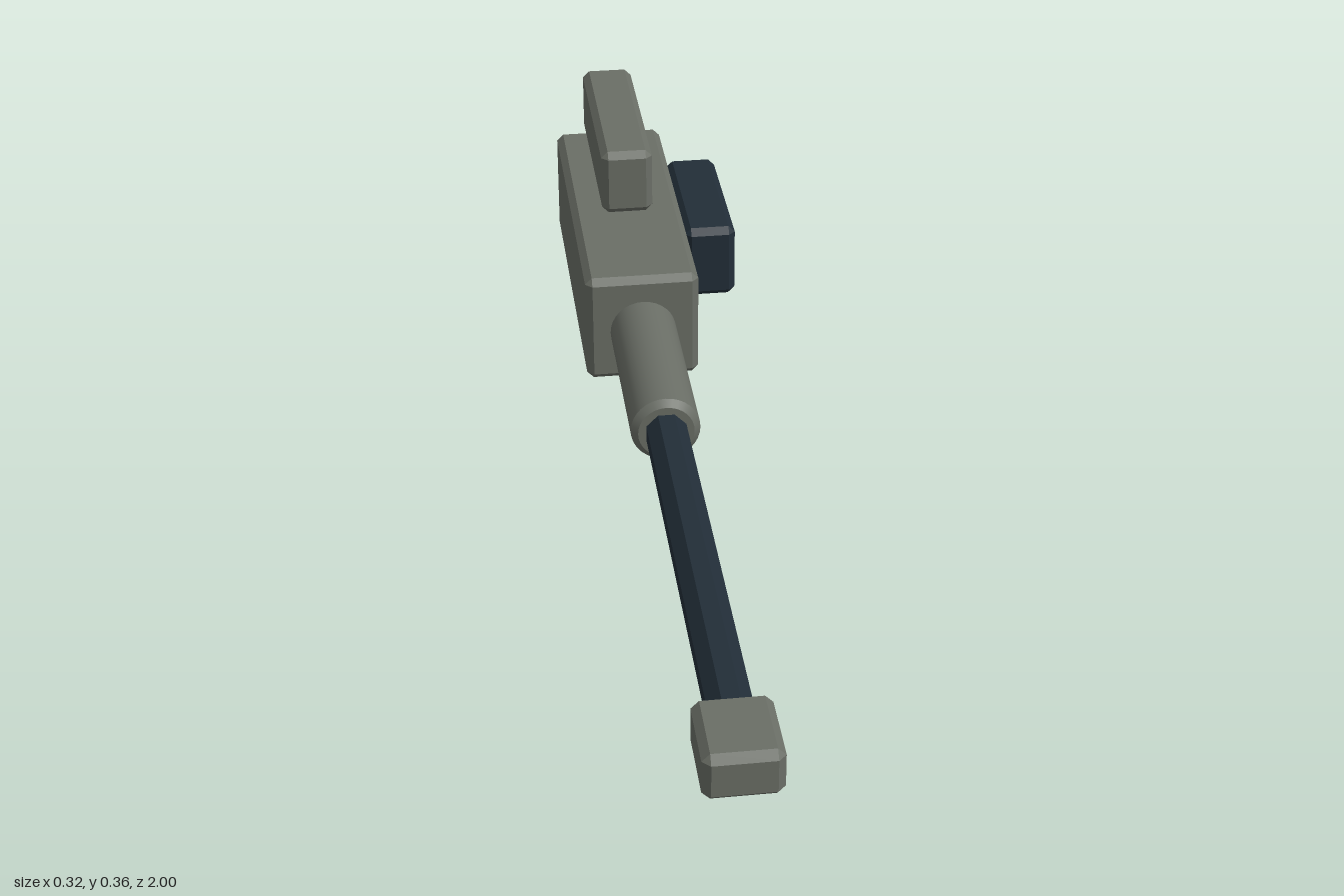
import * as THREE from 'three';
import { ConvexGeometry } from 'three/addons/geometries/ConvexGeometry.js';

const AXIS_X = -0.052, AXIS_Y = 0.11;

// Box between two corners with every edge chamfered by c
function chamferBox(min, max, c = 0.013) {
  const centre = min.map((v, i) => (v + max[i]) / 2);
  const half = min.map((v, i) => (max[i] - v) / 2);
  const points = [];
  for (const sx of [-1, 1]) for (const sy of [-1, 1]) for (const sz of [-1, 1]) {
    for (let face = 0; face < 3; face++) {
      const p = [sx, sy, sz].map((s, i) => s * (half[i] - (i === face ? 0 : c)));
      points.push(new THREE.Vector3(...p));
    }
  }
  return new ConvexGeometry(points).translate(...centre);
}

export function createModel() {
  const group = new THREE.Group();
  const grey = new THREE.MeshStandardMaterial({ color: 0x6a6e66 });
  grey.name = 'greyGreen';
  const dark = new THREE.MeshStandardMaterial({ color: 0x222e38 });
  dark.name = 'darkSteel';

  const add = (name, geometry, material) => {
    const mesh = new THREE.Mesh(geometry, material);
    mesh.name = name;
    group.add(mesh);
  };

  // Boxy parts
  add('receiver', chamferBox([-0.16, 0, -1], [0.057, 0.218, -0.335]), grey);
  add('topHousing', chamferBox([-0.102, 0.228, -1], [-0.002, 0.36, -0.585]), grey);
  add('sideBox', chamferBox([0.057, 0.052, -0.875], [0.158, 0.202, -0.545]), dark);
  add('muzzleBlock', chamferBox([-0.115, 0.068, 0.85], [0.011, 0.152, 1]), grey);

  // Round sleeve with chamfered ends; doubled points keep the edges sharp
  const r = 0.063, c = 0.012, z0 = -0.337, z1 = 0.043;
  const profile = [
    [0, z0], [r - c, z0], [r - c, z0], [r, z0 + c], [r, z0 + c],
    [r, z1 - c], [r, z1 - c], [r - c, z1], [r - c, z1], [0, z1],
  ].map(([x, y]) => new THREE.Vector2(x, y));
  const sleeve = new THREE.LatheGeometry(profile, 32);
  sleeve.rotateX(Math.PI / 2).translate(AXIS_X, AXIS_Y, 0);
  add('barrelSleeve', sleeve, grey);

  // Eight-sided barrel, flat side up
  const barrel = new THREE.CylinderGeometry(0.039, 0.039, 0.85, 8).toNonIndexed();
  barrel.rotateY(Math.PI / 8).rotateX(Math.PI / 2).translate(AXIS_X, AXIS_Y, 0.435);
  barrel.computeVertexNormals();
  add('barrel', barrel, dark);

  return group;
}
